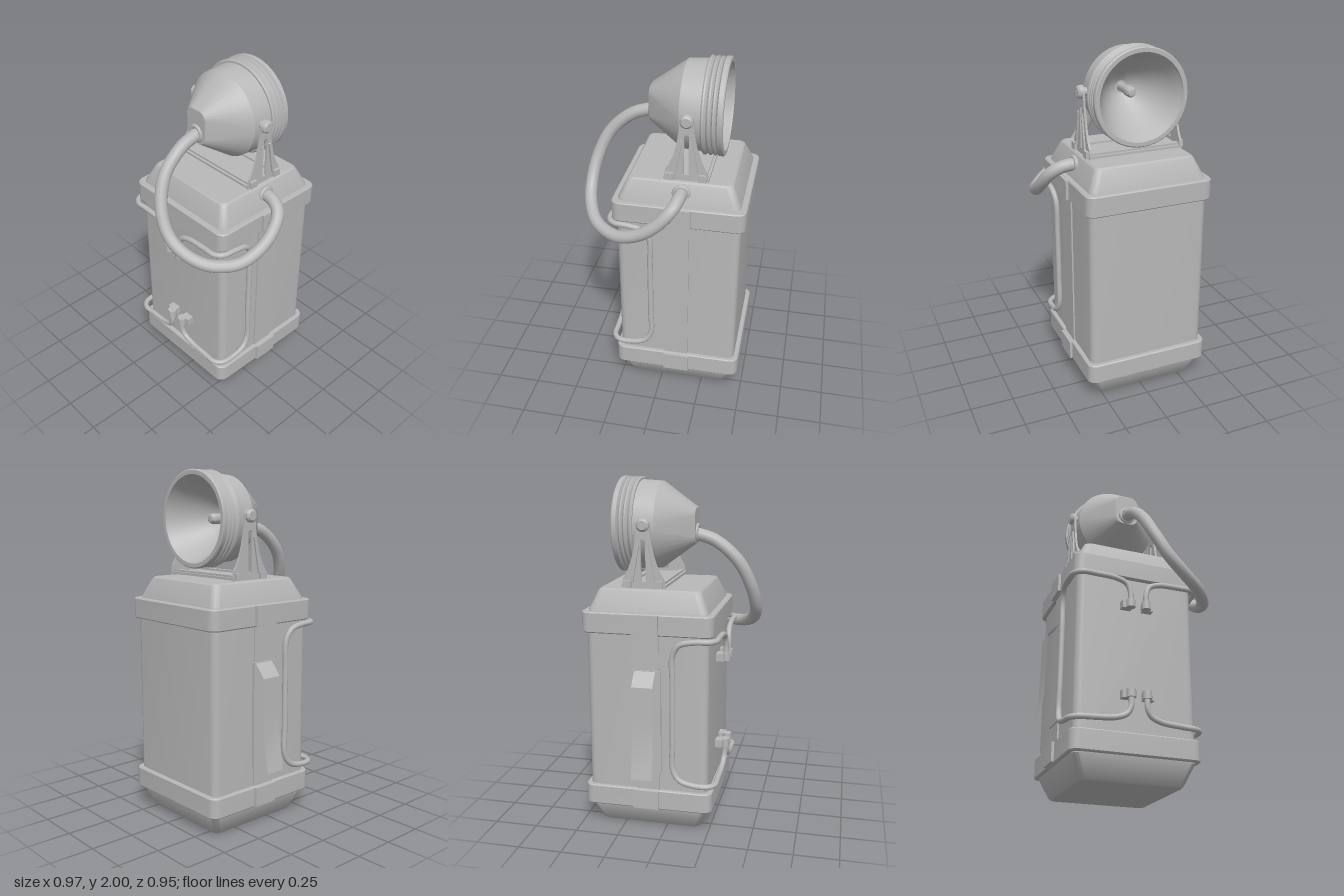
import * as THREE from 'three';
import { toCreasedNormals } from 'three/addons/utils/BufferGeometryUtils.js';

const V = (x, y, z) => new THREE.Vector3(x, y, z);
const CX = -0.02, CZ = -0.103;          // centre of the case
const HX = -0.025, HY = 1.73;           // lamp axis

// Closed loft through rounded rectangles; section = [y, halfX, halfZ, cornerRadius]
function loft(sections, seg = 6) {
  const pos = [], idx = [], n = 4 * (seg + 1);
  for (const [y, w, d, r] of sections) {
    for (let q = 0; q < 4; q++) {
      const sx = q === 0 || q === 3 ? 1 : -1, sz = q < 2 ? 1 : -1;
      for (let i = 0; i <= seg; i++) {
        const a = (q + i / seg) * Math.PI / 2;
        pos.push(sx * (w - r) + r * Math.cos(a), y, sz * (d - r) + r * Math.sin(a));
      }
    }
  }
  for (let s = 0; s < sections.length - 1; s++) {
    for (let j = 0; j < n; j++) {
      const a = s * n + j, b = s * n + (j + 1) % n;
      idx.push(a, a + n, b, b, a + n, b + n);
    }
  }
  const last = (sections.length - 1) * n, c = pos.length / 3;
  pos.push(0, sections[0][0], 0, 0, sections[sections.length - 1][0], 0);
  for (let j = 0; j < n; j++) {
    const k = (j + 1) % n;
    idx.push(c, j, k, c + 1, last + k, last + j);
  }
  const g = new THREE.BufferGeometry();
  g.setAttribute('position', new THREE.Float32BufferAttribute(pos, 3));
  g.setIndex(idx);
  return toCreasedNormals(g, 0.5);
}

export function createModel() {
  const model = new THREE.Group();
  const grey = new THREE.MeshStandardMaterial({ color: 0xb8b8b8, side: THREE.DoubleSide });
  grey.name = 'grey';

  function add(name, geo, x = 0, y = 0, z = 0, parent = model) {
    const m = new THREE.Mesh(geo, grey);
    m.name = name;
    m.position.set(x, y, z);
    parent.add(m);
    return m;
  }
  const box = (w, h, d) => new THREE.BoxGeometry(w, h, d);
  const tube = (pts, r, n) =>
    new THREE.TubeGeometry(new THREE.CatmullRomCurve3(pts), n, r, 14);

  // Battery case
  add('caseBody', loft([[0.2, 0.348, 0.348, 0.04], [1.2, 0.348, 0.348, 0.04]]), CX, 0, CZ);
  add('caseBase', loft([
    [0, 0.285, 0.285, 0.03], [0.012, 0.298, 0.298, 0.035], [0.125, 0.348, 0.348, 0.04], [0.14, 0.348, 0.348, 0.04],
  ]), CX, 0, CZ);
  add('caseLid', loft([
    [1.27, 0.342, 0.342, 0.04], [1.285, 0.34, 0.34, 0.04], [1.392, 0.291, 0.291, 0.035], [1.4, 0.28, 0.28, 0.03],
  ]), CX, 0, CZ);
  for (const [name, y] of [['lowerRim', 0.13], ['upperRim', 1.16]]) {
    add(name, loft([
      [y, 0.366, 0.368, 0.045], [y + 0.006, 0.371, 0.374, 0.05],
      [y + 0.112, 0.371, 0.374, 0.05], [y + 0.118, 0.366, 0.368, 0.045],
    ]), CX, 0, CZ);
  }

  // Side straps and the clips that hold them to the rims
  for (const s of [1, -1]) {
    add('sideStrap', box(0.02, 0.95, 0.14), CX + s * 0.347, 0.705, -0.1);
    for (const y of [0.19, 1.22]) add('strapClip', box(0.04, 0.11, 0.15), CX + s * 0.366, y, -0.105);
  }
  add('latchPlate', box(0.02, 0.6, 0.16), -0.374, 0.66, -0.1);

  // Bent sheet latch lever
  const profile = [[-0.38, 0.96], [-0.41, 0.93], [-0.45, 0.88], [-0.452, 0.7], [-0.457, 0.5], [-0.487, 0.35]];
  const sheet = new THREE.PlaneGeometry(0.12, 1, 1, profile.length - 1);
  const p = sheet.attributes.position;
  for (let i = 0; i < p.count; i++) {
    const [x, y] = profile[i >> 1];
    p.setXYZ(i, x, y, -0.11 + p.getX(i));
  }
  add('latchLever', toCreasedNormals(sheet.toNonIndexed(), 0.4));

  // Thin pipes looping from the front round each side
  for (const s of [1, -1]) {
    const P = (dx, y, z) => V(HX + s * dx, y, z);
    add('sidePipe', tube([
      P(0.046, 0.99, 0.295), P(0.048, 1.06, 0.295), P(0.07, 1.11, 0.292), P(0.13, 1.135, 0.29),
      P(0.25, 1.142, 0.288), P(0.33, 1.142, 0.285), P(0.368, 1.142, 0.25), P(0.378, 1.14, 0.17),
      P(0.378, 1.12, 0.09), P(0.372, 1.06, 0.052), P(0.37, 0.9, 0.05), P(0.37, 0.55, 0.05),
      P(0.372, 0.39, 0.052), P(0.378, 0.33, 0.09), P(0.378, 0.305, 0.17), P(0.368, 0.3, 0.25),
      P(0.33, 0.3, 0.285), P(0.25, 0.304, 0.288), P(0.13, 0.315, 0.29), P(0.07, 0.34, 0.292),
      P(0.048, 0.38, 0.295), P(0.046, 0.46, 0.295),
    ], 0.016, 150));
    for (const y of [0.985, 0.455]) {
      add('pipeFitting', new THREE.CylinderGeometry(0.026, 0.026, 0.046, 20), HX + s * 0.046, y, 0.295);
      add('pipeClamp', box(0.06, 0.046, 0.05), HX + s * 0.062, y, 0.262);
    }
  }

  // Lamp head, its axis along z with the mouth towards the back
  const head = new THREE.Group();
  head.name = 'lampHead';
  head.position.set(HX, HY, 0);
  head.rotation.x = -Math.PI / 2;
  model.add(head);
  const round = ([t, r]) => [t, r, r, r];
  add('lampShell', loft([
    [-0.112, 0.07, 0.098, 0.045], [-0.105, 0.077, 0.105, 0.05],
    ...[[0.085, 0.245], [0.2, 0.252], [0.2, 0.262], [0.208, 0.27], [0.216, 0.268], [0.228, 0.255],
      [0.238, 0.268], [0.246, 0.268], [0.256, 0.255], [0.264, 0.268], [0.272, 0.268], [0.282, 0.255],
      [0.29, 0.27], [0.314, 0.27], [0.32, 0.264], [0.32, 0.242], [0.308, 0.238],
      // reflector bowl
      [0.3, 0.232], [0.24, 0.204], [0.17, 0.165], [0.1, 0.115], [0.05, 0.07], [0.03, 0.035]].map(round),
  ], 16));
  add('bulb', loft([[0.02, 0.024], [0.11, 0.024], [0.13, 0.03], [0.17, 0.03], [0.187, 0.022], [0.192, 0.008]].map(round), 6),
    0, 0, 0, head);
  const shell = model.getObjectByName('lampShell');
  head.add(shell);
  const gland = add('lampCableGland', new THREE.TorusGeometry(0.038, 0.012, 10, 28), HX, 1.688, 0.112);
  gland.scale.y = 1.1;

  // Yoke bracket: base plate, two slotted arms, pivot screws
  add('yokeBase', box(0.55, 0.014, 0.25), -0.022, 1.416, -0.135);
  for (const z of [-0.04, -0.23]) add('yokeBaseRib', box(0.53, 0.016, 0.03), -0.022, 1.426, z);
  const arm = new THREE.Shape();
  arm.moveTo(0.01, 1.405);
  arm.lineTo(0.26, 1.405);
  arm.lineTo(0.25, 1.46);
  arm.quadraticCurveTo(0.185, 1.55, 0.172, 1.75);
  arm.absarc(0.135, 1.75, 0.037, 0, Math.PI, false);
  arm.quadraticCurveTo(0.085, 1.55, 0.02, 1.46);
  arm.closePath();
  const slot = new THREE.Path();
  slot.moveTo(0.122, 1.44);
  slot.lineTo(0.122, 1.66);
  slot.absarc(0.135, 1.66, 0.013, Math.PI, 0, true);
  slot.lineTo(0.148, 1.44);
  slot.closePath();
  arm.holes.push(slot);
  const armGeo = new THREE.ExtrudeGeometry(arm, { depth: 0.012, bevelEnabled: false, curveSegments: 12 });
  armGeo.rotateY(Math.PI / 2);
  for (const s of [1, -1]) {
    const x = -0.022 + s * 0.27;
    add('yokeArm', armGeo, x - 0.006, 0, 0);
    // stiffening ribs and foot tabs
    for (const d of [-1, 1]) {
      const rib = add('armRib', box(0.016, 0.2, 0.012), x + s * 0.008, 1.54, -0.135 + d * 0.045);
      rib.rotation.x = -d * 0.18;
      add('armFoot', box(0.024, 0.04, 0.045), x + s * 0.01, 1.428, -0.135 + d * 0.09);
    }
    const screw = new THREE.Group();
    screw.name = 'pivotScrew';
    screw.position.set(x, 1.75, -0.135);
    screw.rotation.z = -s * Math.PI / 2;
    model.add(screw);
    add('screwHead', loft([[-0.03, 0.022], [0.004, 0.022], [0.004, 0.037], [0.018, 0.036], [0.028, 0.025]].map(round), 6),
      0, 0, 0, screw);
    add('screwCross', box(0.034, 0.004, 0.008), 0, 0.028, 0, screw);
    add('screwCross', box(0.008, 0.004, 0.034), 0, 0.028, 0, screw);
  }

  // Thick cable from the lamp to the lid
  add('cable', tube([
    V(-0.025, 1.688, 0.09), V(-0.024, 1.645, 0.22), V(-0.012, 1.53, 0.35), V(0.035, 1.38, 0.42),
    V(0.11, 1.25, 0.44), V(0.2, 1.175, 0.422), V(0.32, 1.12, 0.355), V(0.418, 1.108, 0.22),
    V(0.448, 1.15, 0.09), V(0.447, 1.22, -0.01), V(0.415, 1.3, -0.085), V(0.35, 1.338, -0.112), V(0.25, 1.345, -0.118),
  ], 0.036, 120));
  const lidGland = add('lidCableGland', new THREE.TorusGeometry(0.04, 0.013, 10, 28), 0.29, 1.342, -0.117);
  lidGland.rotation.y = Math.PI / 2;

  return model;
}
